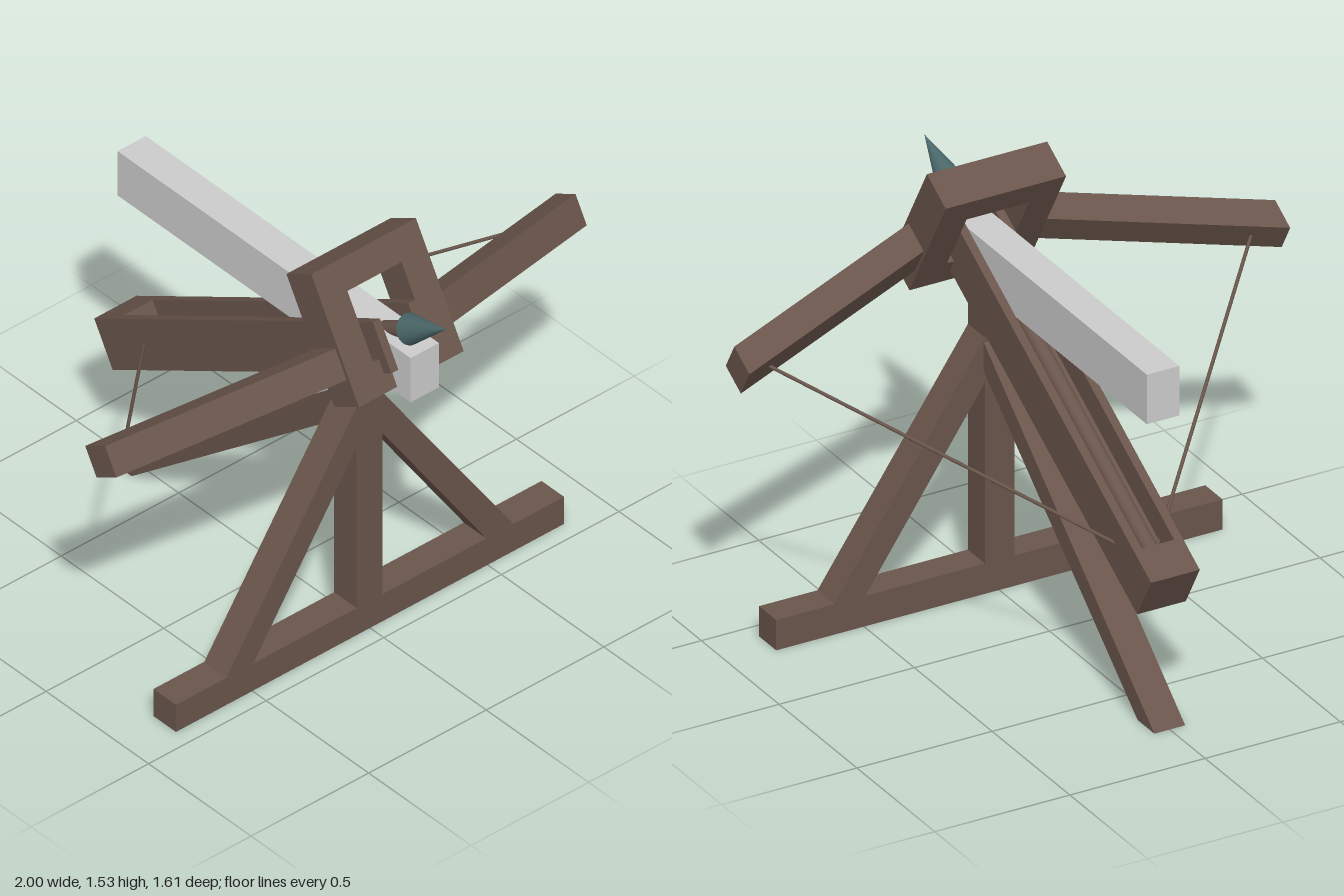
import * as THREE from 'three';

const wood = new THREE.MeshStandardMaterial({ color: 0x69554b });
const iron = new THREE.MeshStandardMaterial({ color: 0x4a6769 });
const plain = new THREE.MeshStandardMaterial({ color: 0xcccccc });

function add(parent, name, geometry, material = wood) {
  const mesh = new THREE.Mesh(geometry, material);
  mesh.name = name;
  parent.add(mesh);
  return mesh;
}

function box(parent, name, size, position, material) {
  add(parent, name, new THREE.BoxGeometry(...size), material).position.set(...position);
}

// Extrusion of an outline (and optional hole), centred on its depth
function prism(points, depth, hole) {
  const toVectors = (list) => list.map(([x, y]) => new THREE.Vector2(x, y));
  const shape = new THREE.Shape(toVectors(points));
  if (hole) shape.holes.push(new THREE.Path(toVectors(hole)));
  return new THREE.ExtrudeGeometry(shape, { depth, bevelEnabled: false }).translate(0, 0, -depth / 2);
}

const rect = (x, y0, y1) => [[-x, y0], [x, y0], [x, y1], [-x, y1]];

// Round bar between two points
function bar(a, b, radius, sides) {
  const path = new THREE.LineCurve3(new THREE.Vector3(...a), new THREE.Vector3(...b));
  return new THREE.TubeGeometry(path, 1, radius, sides);
}

export function createModel() {
  const model = new THREE.Group();
  model.name = 'boltThrower';

  // Stand: foot bar, post, two side braces and a rear leg
  const stand = new THREE.Group();
  stand.name = 'stand';
  model.add(stand);
  box(stand, 'footBar', [1.65, 0.11, 0.11], [0, 0.055, 0.378]);
  box(stand, 'post', [0.11, 1.05, 0.11], [-0.002, 0.625, 0.378]);
  for (const s of [1, -1]) {
    const brace = prism([[0.61 * s, 0.11], [0.495 * s, 0.11], [0.04 * s, 0.785], [0.04 * s, 0.95]], 0.108);
    add(stand, s > 0 ? 'leftBrace' : 'rightBrace', brace).position.z = 0.378;
  }
  const leg = prism([[0.325, 0.915], [0.325, 0.81], [-0.665, 0], [-0.773, 0]], 0.114);
  add(stand, 'rearLeg', leg.rotateY(-Math.PI / 2));

  // Level block over the stock
  box(model, 'levelBlock', [0.12, 0.18, 1.43], [0, 1.195, -0.015], plain);

  // Tilted weapon; its z axis runs along the stock
  const weapon = new THREE.Group();
  weapon.name = 'weapon';
  weapon.position.set(0, 1.201, 0.4575);
  weapon.rotation.x = -Math.PI / 6;
  model.add(weapon);

  // Grooved stock, open in front and closed by an end block
  const section = [[-0.09, -0.09], [0.09, -0.09], [0.09, 0.09], [0.06, 0.09],
    [0.06, 0], [-0.06, 0], [-0.06, 0.09], [-0.09, 0.09]];
  add(weapon, 'groovedStock', prism(section, 1.44)).position.z = -0.561;
  box(weapon, 'stockEnd', [0.18, 0.18, 0.13], [0, 0, -1.346]);

  // Square frame around the stock
  const frame = prism(rect(0.2225, -0.233, 0.233), 0.14, rect(0.115, -0.123, 0.127));
  add(weapon, 'frame', frame).position.set(0, 0.083, 0.048);

  // Swept bow arms and the drawn string
  for (const s of [1, -1]) {
    const side = s > 0 ? 'left' : 'right';
    const arm = prism([[0.21 * s, -0.107], [s, 0.164], [s, 0.276], [0.21 * s, 0.005]], 0.11);
    add(weapon, side + 'BowArm', arm.rotateX(-Math.PI / 2));
    add(weapon, side + 'String', bar([0.9 * s, 0, -0.225], [0, 0, -1.29], 0.006, 8));
  }

  // Bolt lying in the groove
  const bolt = new THREE.Group();
  bolt.name = 'bolt';
  bolt.position.y = 0.027;
  weapon.add(bolt);
  add(bolt, 'boltShaft', bar([0, 0, -1.27], [0, 0, 0.22], 0.028, 20));
  const head = new THREE.ConeGeometry(0.053, 0.205, 24).rotateX(Math.PI / 2);
  add(bolt, 'boltHead', head, iron).position.z = 0.314;

  return model;
}
